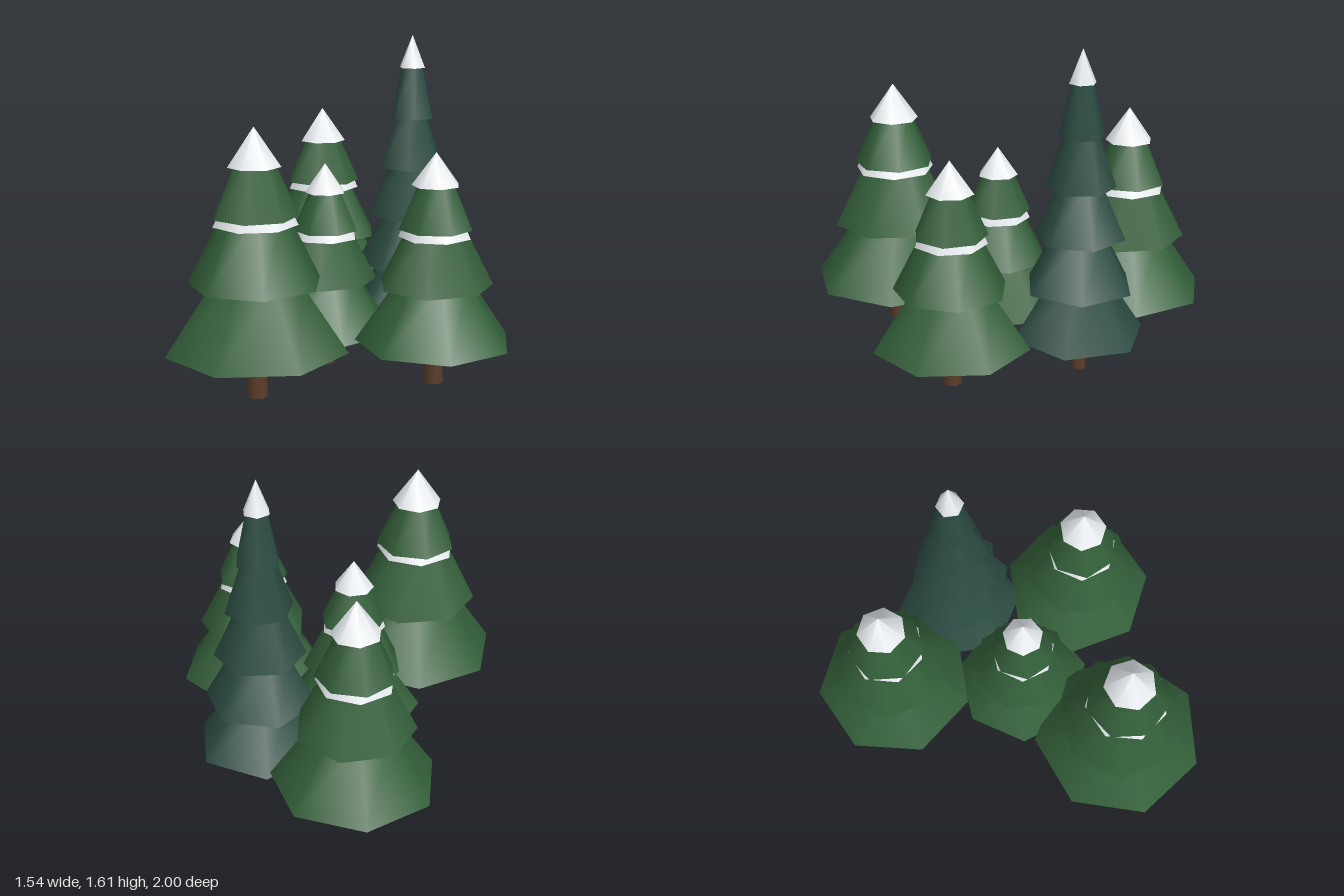
import * as THREE from 'three';

const paint = (color) => new THREE.MeshStandardMaterial({ color });
const materials = {
  green: paint(0x335f39),
  dark: paint(0x2b4c42),
  snow: paint(0xe9edf1),
  bark: paint(0x5c3c28),
};

// Each tree: position, sides, first-corner angle and turn per tier (degrees),
// tiers as [bottom height, radius] from low to high, snow cap, trunk radius.
const TREES = [
  { name: 'frontLeftTree', x: -0.381, z: 0.58, sides: 7, angle: 0, turn: 20, leaf: 'green',
    tiers: [[0.23, 0.432], [0.548, 0.317], [0.865, 0.203]], cap: [1.095, 0.126, 1.277], trunk: 0.049, band: true },
  { name: 'frontRightTree', x: 0.417, z: 0.257, sides: 7, angle: 22, turn: 19, leaf: 'green',
    tiers: [[0.202, 0.382], [0.483, 0.277], [0.758, 0.178]], cap: [0.965, 0.116, 1.123], trunk: 0.048, band: true },
  { name: 'middleTree', x: -0.145, z: 0.043, sides: 7, angle: 15.5, turn: 22, leaf: 'green',
    tiers: [[0.183, 0.342], [0.433, 0.25], [0.685, 0.162]], cap: [0.872, 0.1, 1.015], trunk: 0.048, band: true },
  { name: 'backLeftTree', x: -0.268, z: -0.618, sides: 7, angle: -5, turn: 22, leaf: 'green',
    tiers: [[0.215, 0.402], [0.513, 0.29], [0.8, 0.19]], cap: [1.015, 0.119, 1.187], trunk: 0.049, band: true },
  { name: 'tallDarkTree', x: 0.238, z: -0.355, sides: 6, angle: 13.5, turn: 46, leaf: 'dark',
    tiers: [[0.183, 0.328], [0.435, 0.275], [0.688, 0.222], [0.938, 0.168], [1.188, 0.112]],
    cap: [1.443, 0.067, 1.607], trunk: 0.04, band: false },
];

// Smooth-sided frustum standing on height y0, with one corner at the given angle from +x towards +z
function frustum(name, material, sides, y0, r0, y1, r1, angle) {
  const start = Math.PI / 2 - THREE.MathUtils.degToRad(angle);
  const geometry = new THREE.CylinderGeometry(r1, r0, y1 - y0, sides, 1, false, start);
  geometry.translate(0, (y0 + y1) / 2, 0);
  const mesh = new THREE.Mesh(geometry, material);
  mesh.name = name;
  return mesh;
}

function makeTree({ name, x, z, sides, angle, turn, leaf, tiers, cap, trunk, band }) {
  const tree = new THREE.Group();
  tree.name = name;
  tree.position.set(x, 0, z);

  tree.add(frustum('trunk', materials.bark, 7, 0, trunk, tiers[0][0] + 0.05, trunk * 0.8, angle));

  // Branch tiers, each narrowing to under half its width just inside the one above
  const [capY, capR, tipY] = cap;
  tiers.forEach(([y, r], i) => {
    const nextY = i < tiers.length - 1 ? tiers[i + 1][0] : capY;
    const top = y + (nextY - y) * 1.1;
    tree.add(frustum('branchTier', materials[leaf], sides, y, r, top, r * 0.45, angle + i * turn));
  });

  // Snow ring peeking out below the top tier
  if (band) {
    const [y, r] = tiers[tiers.length - 1];
    tree.add(frustum('snowBand', materials.snow, sides, y - 0.038, r * 0.99, y + 0.03, r * 0.82, angle + 2.4 * turn));
  }

  // Pointed snow cap
  tree.add(frustum('snowCap', materials.snow, sides, capY, capR, tipY, 0, angle));
  return tree;
}

export function createModel() {
  const model = new THREE.Group();
  model.name = 'snowyPines';
  TREES.forEach((spec) => model.add(makeTree(spec)));
  return model;
}
